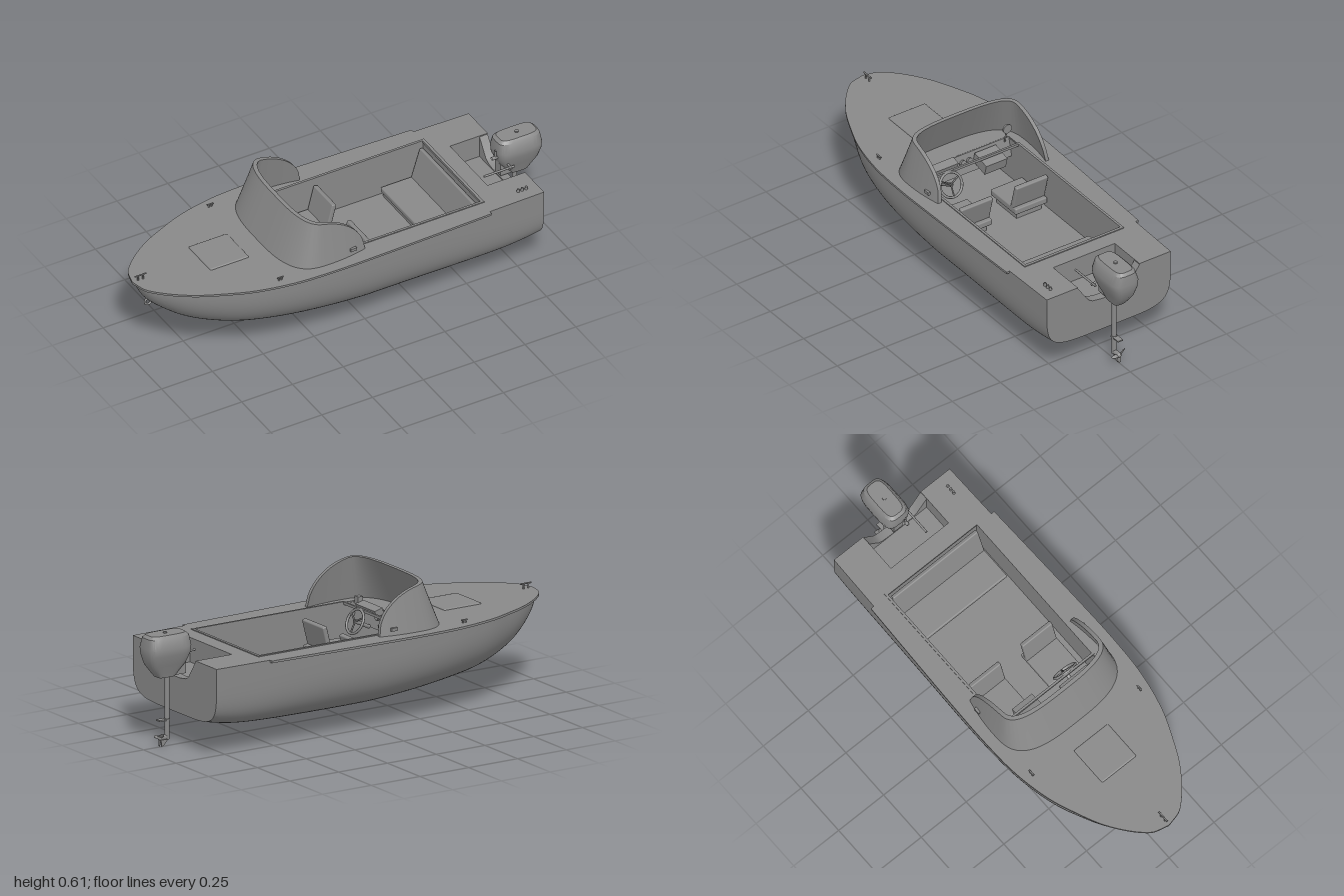
import * as THREE from 'three';
import { toCreasedNormals } from 'three/addons/utils/BufferGeometryUtils.js';
import { RoundedBoxGeometry } from 'three/addons/geometries/RoundedBoxGeometry.js';

const material = new THREE.MeshStandardMaterial({ color: 0x888888, side: THREE.DoubleSide });
const DECK = 0.407;

// Skin joining equal-length cross-sections; closed joins each section's ends, caps fill both ends
function loft(rings, closed, caps, crease = 0.6) {
  const n = rings[0].length, pos = rings.flat(2), idx = [];
  for (let i = 0; i < rings.length - 1; i++) {
    for (let j = 0; j < (closed ? n : n - 1); j++) {
      const a = i * n + j, d = i * n + (j + 1) % n;
      idx.push(a, a + n, d, a + n, d + n, d);
    }
  }
  if (caps) {
    const e = (rings.length - 1) * n;
    for (let j = 1; j < n - 1; j++) idx.push(0, j, j + 1, e, e + j + 1, e + j);
  }
  const g = new THREE.BufferGeometry();
  g.setAttribute('position', new THREE.Float32BufferAttribute(pos, 3));
  g.setIndex(idx);
  return toCreasedNormals(g, crease);
}

// Hull outline at evenly spread stations: x, half width, keel height
const hullCurve = new THREE.CatmullRomCurve3([
  [-0.985, 0, 0.4], [-0.97, 0.055, 0.355], [-0.94, 0.095, 0.305], [-0.88, 0.15, 0.25], [-0.8, 0.205, 0.195],
  [-0.7, 0.253, 0.152], [-0.58, 0.3, 0.122], [-0.4, 0.336, 0.1], [-0.2, 0.346, 0.081], [0, 0.344, 0.07],
  [0.3, 0.336, 0.074], [0.57, 0.328, 0.092], [0.7, 0.325, 0.11], [0.8, 0.323, 0.134], [0.84, 0.322, 0.146],
].map(p => new THREE.Vector3(...p)));
const stations = hullCurve.getPoints(84);

// Rounded hull section, from the right gunwale under the keel to the left gunwale
function hullSection({ x, y: w, z: keel }) {
  const aft = Math.max(0, x / 0.84) ** 2;
  const n = x < 0 ? 3.4 + 1.2 * x : 3.4 + 2.1 * aft;
  return Array.from({ length: 41 }, (_, j) => {
    const a = Math.PI * j / 40, c = Math.cos(a), s = Math.max(0, Math.sin(a));
    const out = Math.abs(c) ** (2 / n);
    const deadrise = 1 - 0.09 * (1 - aft) * out;
    return [x, 0.402 - (0.402 - keel) * deadrise * s ** (2 / n), -Math.sign(c) * w * out];
  });
}

const shapeOf = pts => new THREE.Shape(pts.map(p => new THREE.Vector2(...p)));
const rect = (x0, x1, z) => [[x0, -z], [x1, -z], [x1, z], [x0, z]];

// Flat plate drawn in x and z, hanging down from height y
function plate(shape, y, depth) {
  return new THREE.ExtrudeGeometry(shape, { depth, bevelEnabled: false }).rotateX(Math.PI / 2).translate(0, y, 0);
}

// Flat wall drawn in z and y, standing across the boat at x
const wall = (pts, x) => new THREE.ShapeGeometry(shapeOf(pts.map(([z, y]) => [-z, y]))).rotateY(Math.PI / 2).translate(x, 0, 0);

function rod(from, to, r, sides = 10) {
  const a = new THREE.Vector3(...from), b = new THREE.Vector3(...to);
  return new THREE.TubeGeometry(new THREE.LineCurve3(a, b), 1, r, sides);
}

// Curved screen: plan curve round the front with arms running aft
function windshield() {
  const rings = [], half = [];
  for (let i = 0; i <= 24; i++) {
    const a = i / 24 * Math.PI / 2;
    half.push([Math.max(Math.cos(a), 0) ** 0.65, Math.sin(a) ** 0.65, -0.2]);
  }
  for (let i = 1; i <= 20; i++) half.push([0, 1 - 0.07 * (i / 20) ** 2, -0.2 + 0.18 * i / 20]);
  const section = ([k, s, xc], side) => {
    const reach = Math.min(1, Math.max(0, (xc - 0.1 * k + 0.29) / 0.27));
    const h = Math.sqrt(1 - reach ** 2);
    const at = (t, inset) => [xc - (0.19 - 0.09 * t - inset) * k, DECK - 0.003 + 0.202 * t,
      side * s * (0.31 - 0.038 * t - inset)];
    return [at(0, 0), at(h, 0), at(h, 0.018), at(0, 0.018)];
  };
  for (let i = half.length - 1; i >= 0; i--) rings.push(section(half[i], -1));
  for (let i = 1; i < half.length; i++) rings.push(section(half[i], 1));
  return loft(rings, true, true);
}

// Engine cover from rounded rectangles: height, front x, back x, half width
function cowling() {
  const rows = [[0.312, 0.85, 0.935, 0.03], [0.33, 0.835, 0.95, 0.035], [0.37, 0.8, 0.98, 0.05],
    [0.415, 0.782, 0.993, 0.065], [0.445, 0.78, 0.995, 0.069], [0.49, 0.786, 0.988, 0.054], [0.502, 0.8, 0.975, 0.042]];
  return loft(rows.map(([y, x0, x1, w]) => Array.from({ length: 32 }, (_, j) => {
    const a = j / 32 * 2 * Math.PI, f = v => Math.sign(v) * Math.abs(v) ** 0.5;
    return [(x0 + x1) / 2 + f(Math.cos(a)) * (x1 - x0) / 2, y, f(Math.sin(a)) * w];
  })), true, true, 0.5);
}

export function createModel() {
  const model = new THREE.Group();
  const add = (name, geometry, parent = model) => {
    const mesh = new THREE.Mesh(geometry, material);
    mesh.name = name;
    parent.add(mesh);
    return mesh;
  };
  const group = name => {
    const g = new THREE.Group();
    g.name = name;
    model.add(g);
    return g;
  };
  const place = (mesh, [x, y, z], tilt) => {
    mesh.position.set(x, y, z);
    mesh.rotation.z = tilt;
  };
  const box = (name, at, size, parent, tilt = 0) => place(add(name, new THREE.BoxGeometry(...size), parent), at, tilt);
  const pad = (name, at, size, parent, tilt = 0) =>
    place(add(name, new RoundedBoxGeometry(...size, 2, 0.006), parent), at, tilt);

  // Hull and notched transom
  add('hull', loft(stations.map(hullSection), false, false));
  const notchHalf = [[0.16, 0.402], [0.15, 0.388], [0.105, 0.322], [0.085, 0.31], [0.04, 0.303]];
  const notch = [...notchHalf, ...notchHalf.map(([z, y]) => [-z, y]).reverse()];
  const stern = hullSection(stations.at(-1)).map(p => [p[2], p[1]]);
  add('transom', wall([...stern, ...notch], 0.84));

  // Motor well: a square box ahead of the notch in the transom
  const wellBox = [[0.16, 0.402], [0.16, 0.298], [-0.16, 0.298], [-0.16, 0.402]];
  const channel = (pts, x0, x1) => loft([x0, x1].map(x => pts.map(([z, y]) => [x, y, z])), false, false);
  add('motorWell', channel(wellBox, 0.655, 0.8));
  add('motorWellFront', wall(wellBox, 0.655));
  add('transomNotch', channel(notch, 0.8, 0.84));
  add('transomInnerFace', wall([...notch, [-0.16, 0.298], [0.16, 0.298]], 0.8));

  // Deck with overhanging edge that ends in a step near the stern
  const edge = stations.filter(p => p.x < 0.57).map(p => [p.x - 0.012 * Math.max(0, -p.x - 0.6) / 0.4, p.y + 0.015]);
  edge.push([0.57, 0.343], [0.57, 0.327], [0.84, 0.322]);
  const well = [[0.84, 0.16], [0.655, 0.16], [0.655, -0.16], [0.84, -0.16]];
  const deck = shapeOf([[-1, 0], ...edge, ...well, ...edge.map(([x, z]) => [x, -z]).reverse()]);
  deck.holes.push(shapeOf(rect(-0.27, 0.575, 0.25)));
  add('deck', plate(deck, DECK, 0.01));
  const rim = shapeOf(rect(-0.2, 0.583, 0.258));
  rim.holes.push(shapeOf(rect(-0.19, 0.57, 0.247)));
  add('cockpitRim', plate(rim, DECK + 0.004, 0.012));
  pad('foredeckHatch', [-0.575, DECK - 0.002, 0], [0.19, 0.016, 0.19]);

  // Cockpit tub
  const tub = group('cockpitTub');
  box('floor', [0.085, 0.2, 0], [0.99, 0.01, 0.5], tub);
  for (const s of [-1, 1]) box('sideWall', [0.085, 0.302, s * 0.252], [0.99, 0.2, 0.008], tub);
  box('rearWall', [0.577, 0.302, 0], [0.008, 0.2, 0.5], tub);
  box('frontWall', [-0.405, 0.302, 0], [0.008, 0.2, 0.5], tub);

  // Front seats and rear bench
  for (const z of [-0.156, 0.13]) {
    const seat = group('frontSeat');
    box('seatBase', [-0.055, 0.222, z], [0.15, 0.04, 0.13], seat);
    pad('cushion', [-0.055, 0.253, z], [0.19, 0.03, 0.165], seat);
    pad('backrest', [0.022, 0.318, z], [0.022, 0.13, 0.165], seat, -0.25);
  }
  const bench = group('rearBench');
  box('benchBase', [0.465, 0.215, 0], [0.2, 0.03, 0.46], bench);
  pad('benchCushion', [0.458, 0.24, 0], [0.205, 0.025, 0.47], bench);
  pad('benchBackrest', [0.535, 0.315, 0], [0.02, 0.15, 0.47], bench, -0.3);

  // Windshield, dashboard and controls
  add('windshield', windshield());
  const dash = group('dashboard');
  box('dashPanel', [-0.262, 0.362, 0], [0.02, 0.09, 0.5], dash, 0.25);
  box('gloveBox', [-0.21, 0.37, -0.115], [0.09, 0.05, 0.11], dash, -0.25);
  box('instrumentPod', [-0.24, 0.402, 0.12], [0.04, 0.03, 0.15], dash, -0.3);
  box('compass', [-0.24, 0.422, 0.205], [0.025, 0.034, 0.03], dash);
  for (let i = 0; i < 4; i++) {
    add('gauge', new THREE.CylinderGeometry(0.014, 0.014, 0.012, 16).rotateZ(Math.PI / 2 + 0.25)
      .translate(-0.247, 0.375, -0.035 + i * 0.035), dash);
  }
  const wheel = group('steeringWheel');
  wheel.position.set(-0.165, 0.358, 0.12);
  wheel.rotation.z = 0.45;
  add('wheelRim', new THREE.TorusGeometry(0.055, 0.006, 8, 28).rotateY(Math.PI / 2), wheel);
  for (let i = 0; i < 3; i++) {
    const a = i * Math.PI * 2 / 3;
    add('spoke', rod([0, 0, 0], [0, -0.054 * Math.cos(a), 0.054 * Math.sin(a)], 0.004, 6), wheel);
  }
  add('steeringColumn', rod([0.005, 0, 0], [-0.08, 0, 0], 0.009), wheel);
  const mirror = group('mirror');
  add('mirrorStalk', rod([-0.25, 0.4, -0.218], [-0.25, 0.455, -0.228], 0.004), mirror);
  add('mirrorDisc', new THREE.CylinderGeometry(0.022, 0.022, 0.008, 24).rotateZ(Math.PI / 2)
    .translate(-0.25, 0.462, -0.231), mirror);
  for (const s of [-1, 1]) box('screenBracket', [-0.085, 0.434, s * 0.299], [0.03, 0.014, 0.012]);

  // Deck fittings
  const cleat = (name, x, z, length, height) => {
    const g = group(name);
    g.position.set(x, DECK, z);
    for (const s of [-1, 1]) add('post', rod([s * length * 0.22, -0.004, 0], [s * length * 0.22, height, 0], 0.004), g);
    add('bar', rod([-length / 2, height, 0], [length / 2, height, 0], 0.0035), g);
  };
  cleat('bowCleat', -0.96, 0, 0.056, 0.023);
  for (const s of [-1, 1]) cleat('sideCleat', -0.445, s * 0.3, 0.03, 0.013);
  for (const x of [0.745, 0.765, 0.785]) {
    add('sternFitting', new THREE.CylinderGeometry(0.005, 0.007, 0.016, 10).translate(x, DECK + 0.007, 0.265));
  }
  add('bowEye', new THREE.TorusGeometry(0.016, 0.005, 8, 20).translate(-0.922, 0.278, 0));

  // Outboard motor
  const motor = group('outboardMotor');
  add('cowling', cowling(), motor);
  add('topKnob', new THREE.CylinderGeometry(0.009, 0.009, 0.012, 12).translate(0.89, 0.501, 0), motor);
  box('clampBracket', [0.83, 0.345, 0], [0.065, 0.06, 0.05], motor);
  add('tillerArm', rod([0.8, 0.42, 0.02], [0.755, 0.418, 0.02], 0.008), motor);
  add('tillerGrip', rod([0.775, 0.41, 0.02], [0.775, 0.455, 0.02], 0.005), motor);
  add('steeringRod', rod([0.69, 0.38, 0.068], [0.84, 0.38, 0.068], 0.005), motor);
  add('shiftLever', rod([0.82, 0.387, 0.045], [0.82, 0.378, 0.078], 0.005), motor);
  add('driveLeg', new THREE.CylinderGeometry(0.011, 0.011, 0.29, 16).translate(0.88, 0.175, 0), motor);
  add('legCollar', new THREE.CylinderGeometry(0.014, 0.014, 0.008, 16).translate(0.88, 0.118, 0), motor);
  box('cavitationPlate', [0.9, 0.118, 0], [0.055, 0.006, 0.026], motor);
  add('gearCase', new THREE.CapsuleGeometry(0.011, 0.035, 6, 16).rotateZ(Math.PI / 2).translate(0.898, 0.04, 0), motor);
  add('skeg', plate(shapeOf([[0.87, 0.035], [0.912, 0.035], [0.908, 0], [0.895, 0.005]]), 0, 0.005)
    .rotateX(-Math.PI / 2).translate(0, 0, -0.0025), motor);
  // Propeller with three twisted blades
  const blade = new THREE.SphereGeometry(1, 12, 8).scale(0.003, 0.02, 0.009);
  for (const turn of [Math.PI / 2, Math.PI, -0.9]) {
    add('propellerBlade', blade.clone().rotateY(1).translate(0, 0.019, 0)
      .rotateX(turn).translate(0.918, 0.04, 0), motor);
  }
  return model;
}
